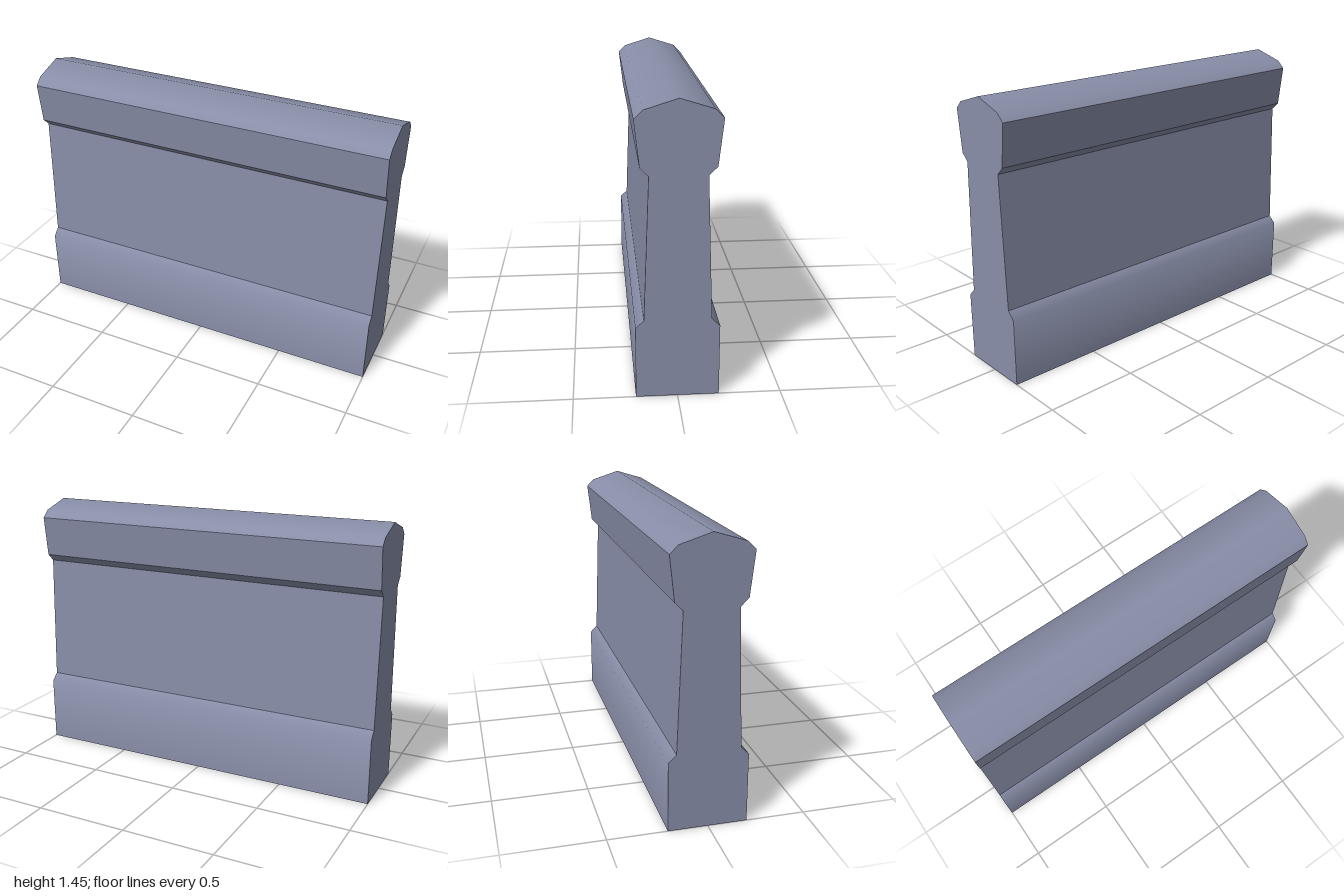
import * as THREE from 'three';

// Half profile from the ground to the ridge as [z, y], in bands of smooth shading
const plinth = [[0.2, 0], [0.2, 0.36], [0.16, 0.4]];
const panel = [[0.16, 0.4], [0.135, 1.1]];
const capUnderside = [[0.135, 1.1], [0.175, 1.14]];
const capSide = [[0.175, 1.14], [0.2, 1.36]];
const capTop = [[0.2, 1.36], [0.16, 1.4], [0, 1.45], [-0.16, 1.4], [-0.2, 1.36]];
const underside = [[-0.2, 0], [0.2, 0]];

const mirror = (points) => points.map(([z, y]) => [-z, y]).reverse();

// Sweep a profile band along x, averaging the normals of neighbouring facets
function band(points) {
  const facets = points.slice(1).map(([z, y], i) =>
    new THREE.Vector2(y - points[i][1], points[i][0] - z).normalize());
  const positions = [], normals = [], index = [];
  points.forEach(([z, y], i) => {
    const n = new THREE.Vector2();
    if (i > 0) n.add(facets[i - 1]);
    if (i < facets.length) n.add(facets[i]);
    n.normalize();
    for (const x of [-1, 1]) {
      positions.push(x, y, z);
      normals.push(0, n.y, n.x);
    }
    if (i > 0) {
      const a = 2 * (i - 1);
      index.push(a, a + 1, a + 3, a, a + 3, a + 2);
    }
  });
  const geometry = new THREE.BufferGeometry();
  geometry.setAttribute('position', new THREE.Float32BufferAttribute(positions, 3));
  geometry.setAttribute('normal', new THREE.Float32BufferAttribute(normals, 3));
  geometry.setIndex(index);
  return geometry;
}

export function createModel() {
  const group = new THREE.Group();
  group.name = 'barrierWall';
  const stone = new THREE.MeshStandardMaterial({ color: 0x888ea8 });
  stone.name = 'blueGreyStone';

  const add = (name, geometry) => {
    const mesh = new THREE.Mesh(geometry, stone);
    mesh.name = name;
    group.add(mesh);
  };

  // Matching front and back faces
  const sides = { plinth, panel, capUnderside, capSide };
  for (const [name, points] of Object.entries(sides)) {
    add(name + 'Front', band(points));
    add(name + 'Back', band(mirror(points)));
  }

  // Ridged top and flat base
  add('capTop', band(capTop));
  add('underside', band(underside));

  // Flat ends with the full cross-section
  const half = [...plinth, panel[1], capSide[0], capTop[0], capTop[1]];
  const outline = [...half, capTop[2], ...mirror(half)];
  const shape = new THREE.Shape(outline.map(([z, y]) => new THREE.Vector2(z, y)));
  for (const side of [-1, 1]) {
    const end = new THREE.ShapeGeometry(shape);
    end.rotateY(side * Math.PI / 2).translate(side, 0, 0);
    add(side > 0 ? 'leftEnd' : 'rightEnd', end);
  }
  return group;
}
